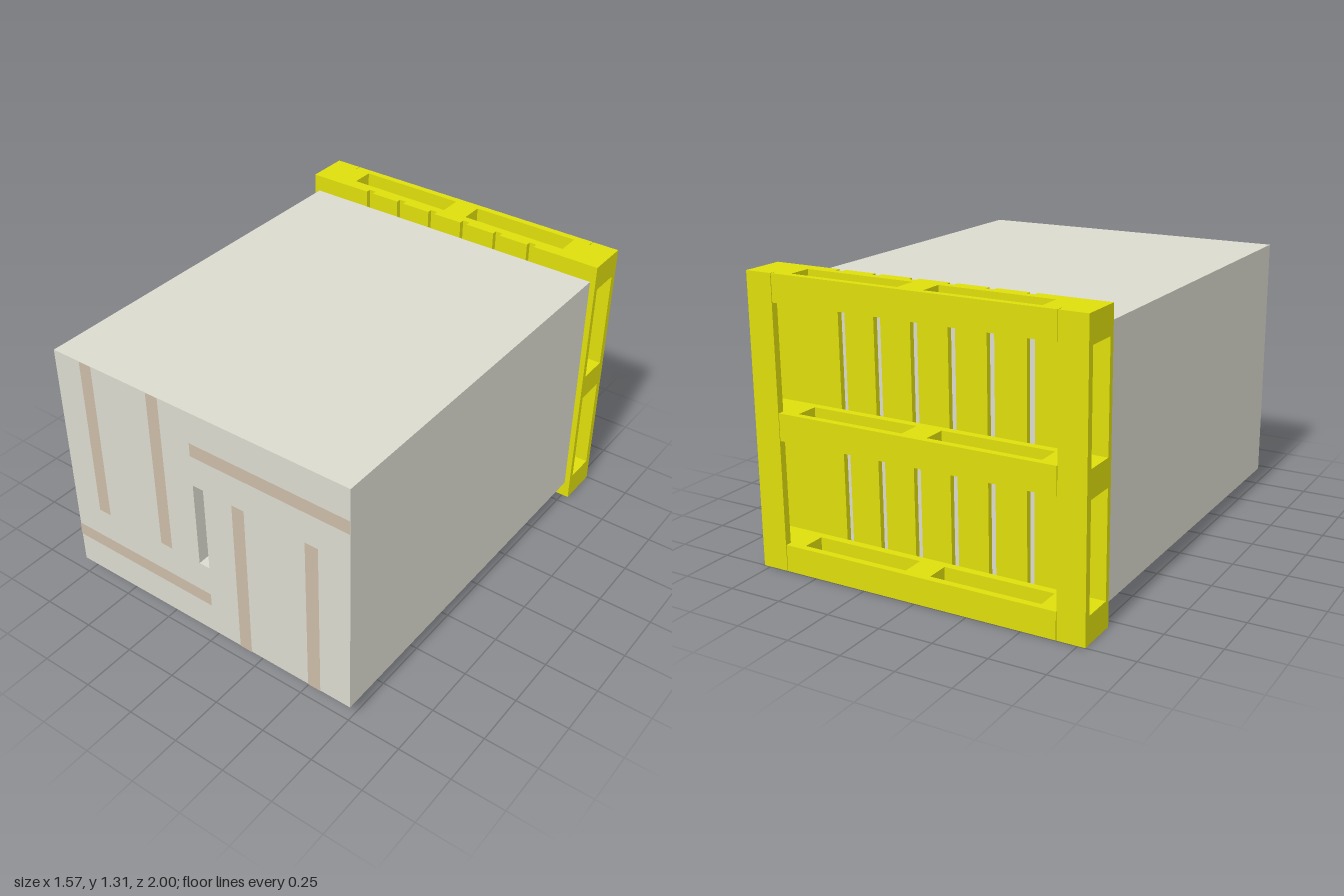
import * as THREE from 'three';

const yellow = new THREE.MeshStandardMaterial({ color: 0xdede0c });
const carton = new THREE.MeshStandardMaterial({ color: 0xdadacf });
const tan = new THREE.MeshStandardMaterial({ color: 0xcbbba8 });

// Axis-aligned box given by its limits on each axis
function slab(parent, name, material, [x0, x1], [y0, y1], [z0, z1]) {
  const mesh = new THREE.Mesh(new THREE.BoxGeometry(x1 - x0, y1 - y0, z1 - z0), material);
  mesh.position.set((x0 + x1) / 2, (y0 + y1) / 2, (z0 + z1) / 2);
  mesh.name = name;
  parent.add(mesh);
}

// Rectangular outline, usable as a shape or a hole
function rect(Type, x0, x1, y0, y1) {
  return new Type([[x0, y0], [x1, y0], [x1, y1], [x0, y1]].map(p => new THREE.Vector2(...p)));
}

function createLoad() {
  const load = new THREE.Group();
  load.name = 'load';

  // Block with a slot running through it
  const shape = rect(THREE.Shape, -0.757, 0.757, 0.08, 1.23);
  shape.holes.push(rect(THREE.Path, -0.027, 0.027, 0.445, 0.865));
  const body = new THREE.Mesh(
    new THREE.ExtrudeGeometry(shape, { depth: 1.798, bevelEnabled: false }), carton);
  body.position.z = -0.8;
  body.name = 'loadBody';
  load.add(body);

  // Flat stripes on the front: x0, x1, y0, y1
  const stripes = [
    [-0.61, -0.545, 0.445, 1.23], [-0.243, -0.18, 0.445, 1.23],
    [0.177, 0.24, 0.08, 0.865], [0.542, 0.606, 0.08, 0.865],
    [-0.027, 0.757, 1.015, 1.08], [-0.757, 0.025, 0.23, 0.295],
  ];
  for (const s of stripes) {
    const stripe = new THREE.Mesh(new THREE.ShapeGeometry(rect(THREE.Shape, ...s)), tan);
    stripe.position.z = 1;
    stripe.name = 'frontStripe';
    load.add(stripe);
  }
  return load;
}

function createPallet() {
  const pallet = new THREE.Group();
  pallet.name = 'pallet';
  const W = 0.783, H = 1.31;

  // Seven deck planks separated by six narrow gaps
  let left = -W;
  for (let i = 0; i < 6; i++) {
    const gap = -0.449 + i * 0.1786;
    slab(pallet, 'deckPlank', yellow, [left, gap - 0.017], [0, H], [-0.825, -0.8]);
    left = gap + 0.017;
  }
  slab(pallet, 'deckPlank', yellow, [left, W], [0, H], [-0.825, -0.8]);

  // Three rows: cross board, three blocks and a base board each
  for (const row of [[0, 0.122], [0.594, 0.716], [H - 0.122, H]]) {
    slab(pallet, 'crossBoard', yellow, [-W, W], row, [-0.861, -0.825]);
    for (const cols of [[-W, -0.576], [-0.06, 0.06], [0.576, W]])
      slab(pallet, 'block', yellow, cols, row, [-0.968, -0.861]);
    slab(pallet, 'baseBoard', yellow, [-0.655, 0.655], row, [-1, -0.968]);
  }

  // Full-height base boards along both edges
  for (const cols of [[-W, -0.658], [0.658, W]])
    slab(pallet, 'baseEdgeBoard', yellow, cols, [0, H], [-1, -0.968]);
  return pallet;
}

export function createModel() {
  const model = new THREE.Group();
  model.name = 'loadedPallet';
  model.add(createLoad(), createPallet());
  return model;
}
